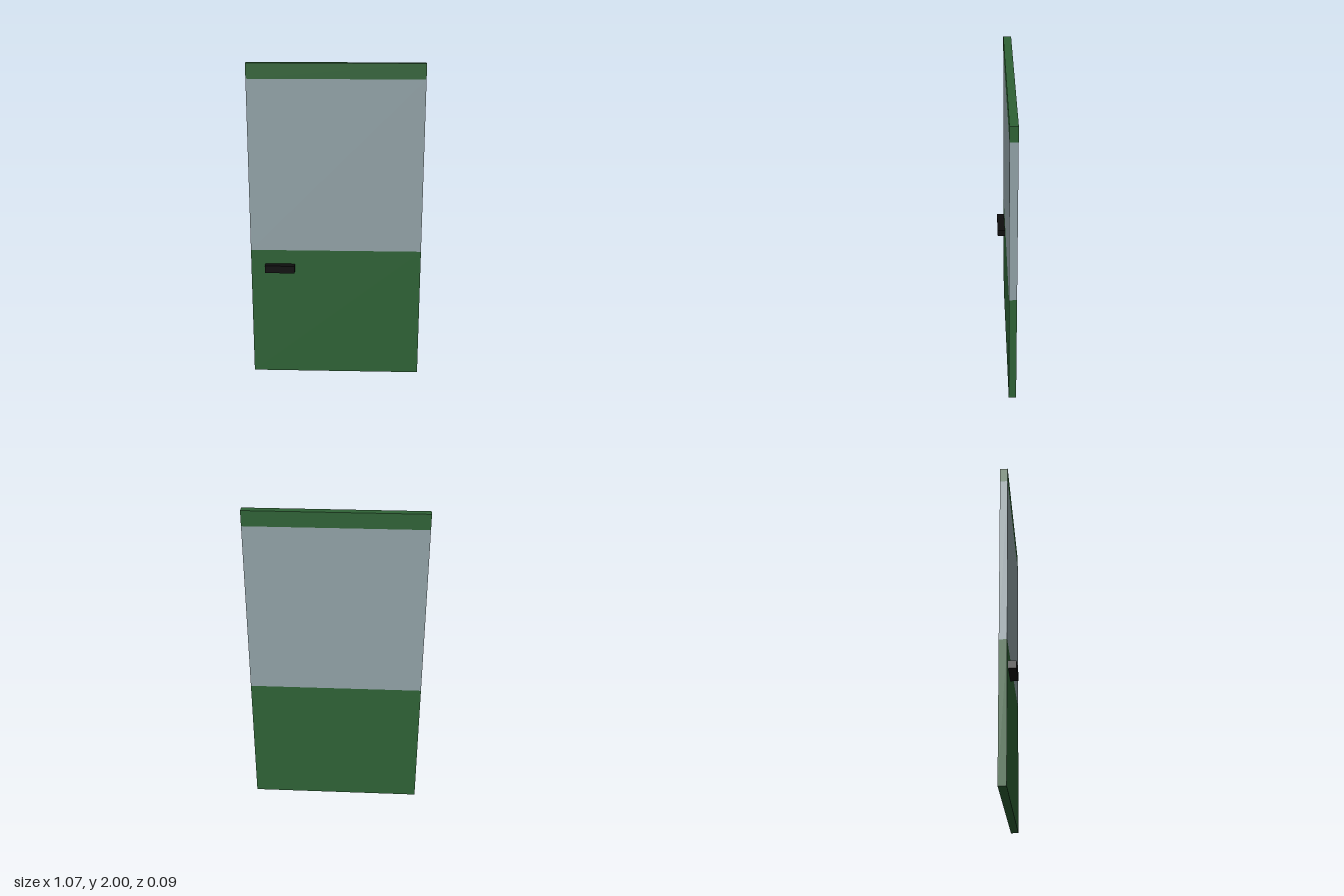
import * as THREE from 'three';

const material = (name, color) => {
  const m = new THREE.MeshStandardMaterial({ color });
  m.name = name;
  return m;
};

export function createModel() {
  const door = new THREE.Group();
  door.name = 'door';

  const green = material('green paint', 0x2e6135);
  const glass = material('grey glass', 0x90a0a5);
  const black = material('black handle', 0x0e0e0e);

  // Box given by its lowest and highest corners
  const addBox = (name, mat, [x0, y0, z0], [x1, y1, z1]) => {
    const mesh = new THREE.Mesh(new THREE.BoxGeometry(x1 - x0, y1 - y0, z1 - z0), mat);
    mesh.position.set((x0 + x1) / 2, (y0 + y1) / 2, (z0 + z1) / 2);
    mesh.name = name;
    door.add(mesh);
  };

  // Slab, stacked from bottom to top
  const half = 0.533, thick = 0.047;
  const slab = (name, mat, y0, y1) => addBox(name, mat, [-half, y0, -thick], [half, y1, 0]);
  slab('lowerPanel', green, 0, 0.837);
  slab('window', glass, 0.837, 1.907);
  slab('topRail', green, 1.907, 2);

  // Handle, on the front face only
  addBox('handle', black, [-0.443, 0.7, 0], [-0.257, 0.747, thick]);

  return door;
}
